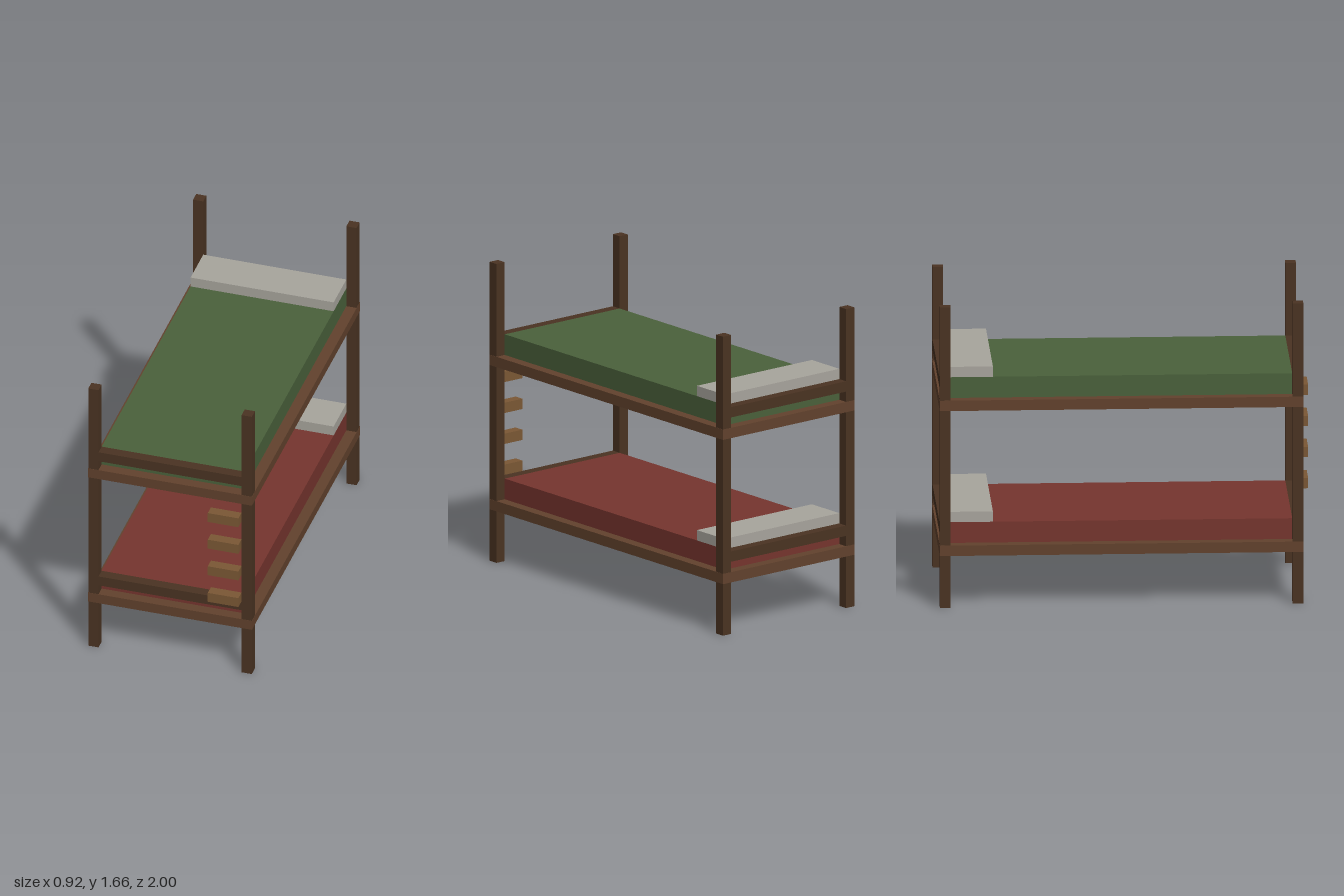
import * as THREE from 'three';

const material = (color) => new THREE.MeshStandardMaterial({ color });

// Box given by its minimum and maximum corners
function block(name, mat, [x0, y0, z0], [x1, y1, z1]) {
  const mesh = new THREE.Mesh(new THREE.BoxGeometry(x1 - x0, y1 - y0, z1 - z0), mat);
  mesh.position.set((x0 + x1) / 2, (y0 + y1) / 2, (z0 + z1) / 2);
  mesh.name = name;
  return mesh;
}

export function createModel() {
  const model = new THREE.Group();
  model.name = 'bunkBed';

  const postWood = material(0x4a3322);
  const baseWood = material(0x62422d);
  const rungWood = material(0x7b5835);
  const linen = material(0xa8a59d);

  const T = 2 / 35;              // timber thickness
  const inner = 0.4, outer = inner + T;
  const back = -1, front = 1 - T; // ends of the frame; the rungs stand proud
  const ends = [['back', back], ['front', front - T]];

  // Four corner posts
  for (const [end, z] of ends) {
    for (const [side, x] of [['Right', -outer], ['Left', inner]]) {
      model.add(block(`${end}${side}Post`, postWood, [x, 0, z], [x + T, 29 * T, z + T]));
    }
  }

  // Two bunks: base board, mattress, end rails and pillow
  const bunks = [['lower', 5 * T, 0x76352e], ['upper', 19 * T, 0x4a613b]];
  for (const [name, y, color] of bunks) {
    const bunk = new THREE.Group();
    bunk.name = `${name}Bunk`;
    const e = 0.001; // base sits just proud of the posts
    bunk.add(block('baseBoard', baseWood, [-outer - e, y, back - e], [outer + e, y + T, front + e]));
    bunk.add(block('mattress', material(color), [-inner, y + T, back + T], [inner, y + 3 * T, front - T]));
    for (const [end, z] of ends) {
      bunk.add(block(`${end}Rail`, postWood, [-inner, y + 2 * T, z], [inner, y + 3 * T, z + T]));
    }
    bunk.add(block('pillow', linen, [-inner, y + 3 * T, back + T], [inner, y + 4 * T, back + 5 * T]));
    model.add(bunk);
  }

  // Ladder rungs beside the front left post
  for (let i = 0; i < 4; i++) {
    const y = (8 + 3 * i) * T;
    model.add(block(`ladderRung${i + 1}`, rungWood, [inner - 3 * T, y, front], [inner, y + T, front + T]));
  }

  return model;
}
